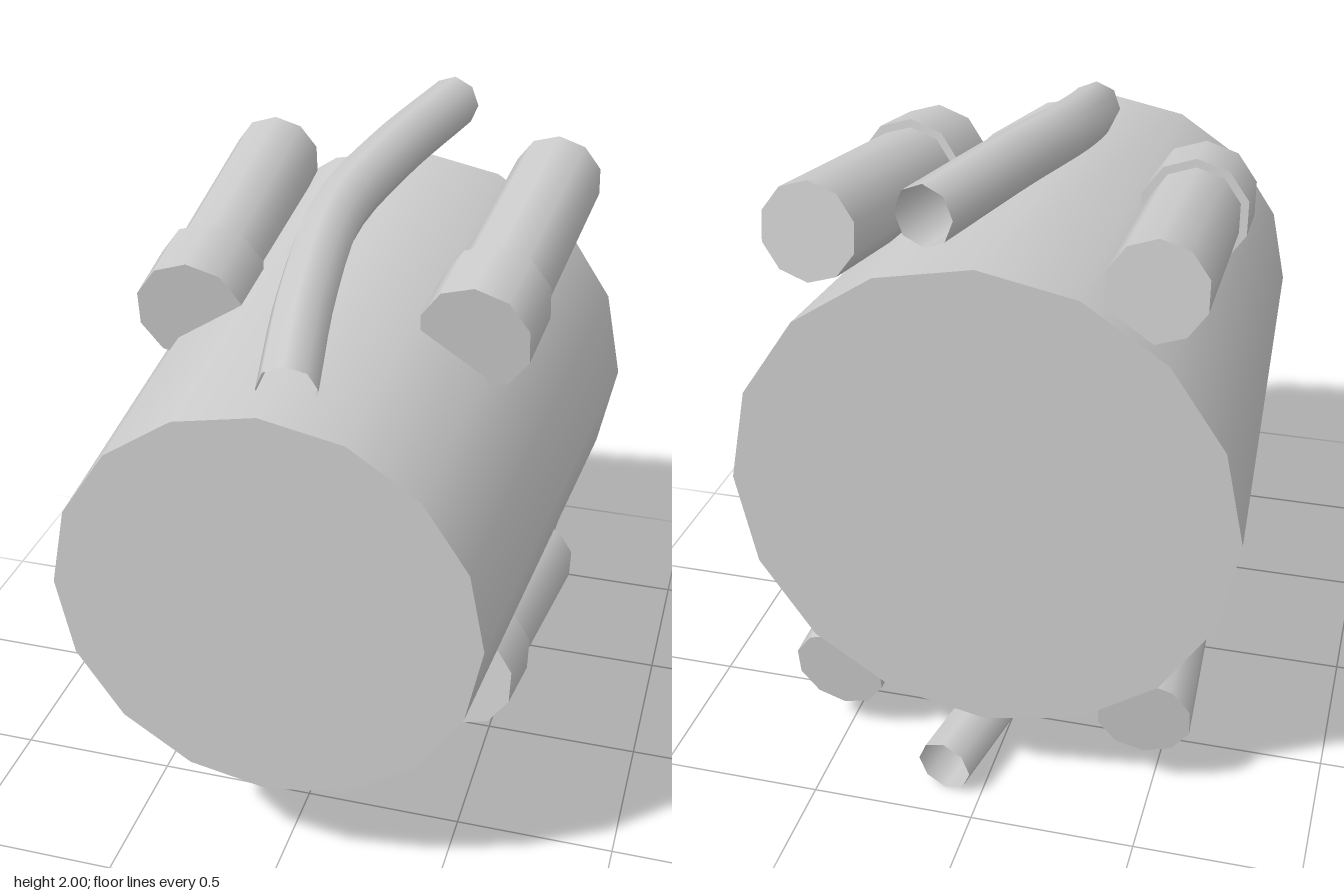
import * as THREE from 'three';

const V = (x, y, z) => new THREE.Vector3(x, y, z);

export function createModel() {
  const model = new THREE.Group();
  const grey = new THREE.MeshStandardMaterial({ color: 0xcccccc });
  grey.name = 'grey';
  const greyOpen = new THREE.MeshStandardMaterial({ color: 0xcccccc, side: THREE.DoubleSide });
  greyOpen.name = 'grey open tube';

  // capped cylinder running between two points, one corner kept upward
  function rod(name, from, to, radius, sides) {
    const axis = to.clone().sub(from);
    const geo = new THREE.CylinderGeometry(radius, radius, axis.length(), sides);
    geo.rotateX(Math.PI / 2);
    geo.rotateZ(Math.PI / 2 - Math.PI / sides * (sides / 2));
    const mesh = new THREE.Mesh(geo, grey);
    mesh.position.copy(from).add(to).multiplyScalar(0.5);
    mesh.lookAt(to);
    mesh.name = name;
    return mesh;
  }

  // tapered barrel, wide end at the back
  const bodyGeo = new THREE.CylinderGeometry(0.635, 0.75, 1.745, 16);
  bodyGeo.rotateX(Math.PI / 2);
  const body = new THREE.Mesh(bodyGeo, grey);
  body.position.set(0, 1, 0.0375);
  body.name = 'body';
  model.add(body);

  // centre lines of the pods: back end, collar back, collar front
  const pods = {
    right: [V(-0.477, 0.708, -0.765), V(-0.444, 0.606, 0), V(-0.434, 0.573, 0.243)],
    left: [V(0.51, 0.753, -0.717), V(0.46, 0.645, 0.015), V(0.444, 0.61, 0.255)],
  };
  // path of the bent pipe, heights measured from the barrel axis
  const pipePath = [
    V(0.035, 0.643, 0.755), V(-0.02, 0.745, 0.4), V(-0.044, 0.84, 0),
    V(0.015, 0.888, -0.4), V(0.115, 0.915, -0.893),
  ];

  for (const [level, s] of [['upper', 1], ['lower', -1]]) {
    const place = (p) => V(p.x, 1 + s * p.y, p.z);

    for (const [side, line] of Object.entries(pods)) {
      const [back, mid, front] = line.map(place);
      const pod = new THREE.Group();
      pod.name = `${level} ${side} pod`;
      pod.add(rod('podBarrel', back, mid.clone().lerp(front, 0.3), 0.146, 10));
      pod.add(rod('podCollar', mid, front, 0.172, 10));
      model.add(pod);
    }

    // open-ended pipe
    const curve = new THREE.CatmullRomCurve3(pipePath.map(place));
    const pipe = new THREE.Mesh(new THREE.TubeGeometry(curve, 16, 0.087, 8, false), greyOpen);
    pipe.name = `${level} pipe`;
    model.add(pipe);
  }
  return model;
}
